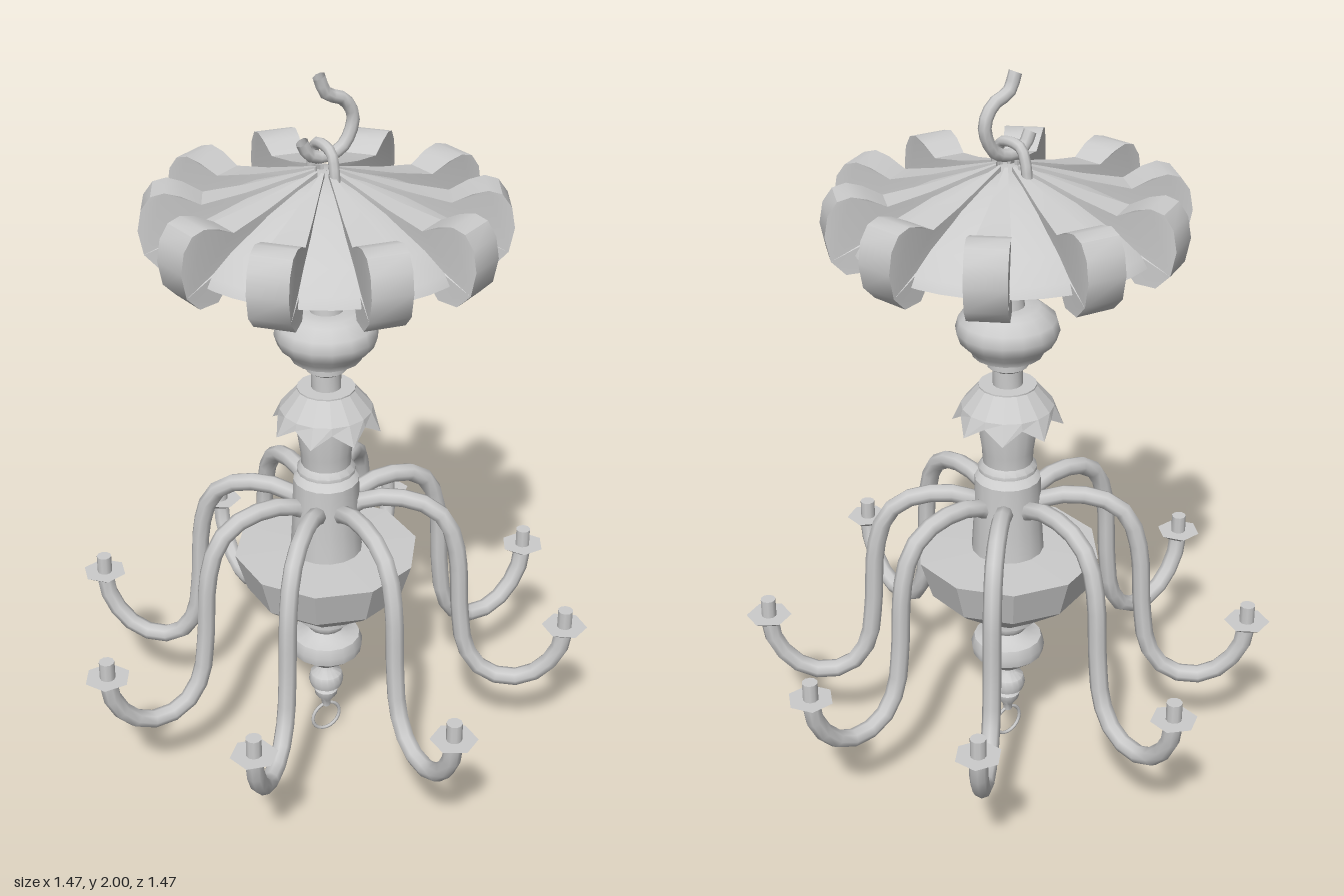
import * as THREE from 'three';
import { toCreasedNormals } from 'three/addons/utils/BufferGeometryUtils.js';

const mat = new THREE.MeshStandardMaterial({ color: 0xcccccc, side: THREE.DoubleSide });
const flat = new THREE.MeshStandardMaterial({ color: 0xcccccc, side: THREE.DoubleSide, flatShading: true });

function add(parent, name, geometry, material = mat) {
  const mesh = new THREE.Mesh(geometry, material);
  mesh.name = name;
  parent.add(mesh);
  return mesh;
}

// Turned part from [radius, height] pairs, bottom to top
function turned(profile, sides = 16, crease = 0.7) {
  const pts = profile.map(([r, y]) => new THREE.Vector2(r, y));
  return toCreasedNormals(new THREE.LatheGeometry(pts, sides), crease);
}

// Round bar through a few points
function bar(points, radius, steps, closed = false) {
  const curve = new THREE.CatmullRomCurve3(points.map(p => new THREE.Vector3(...p)), closed, 'centripetal');
  return new THREE.TubeGeometry(curve, steps, radius, 8, closed);
}

// Flared collar whose lower edge is cut into pointed petals
function petalCollar(petals) {
  const n = petals * 2, geo = new THREE.CylinderGeometry(1, 1, 1, n, 2, true);
  const p = geo.attributes.position;
  for (let i = 0; i < p.count; i++) {
    const row = Math.floor(i / (n + 1)), col = i % (n + 1), a = (col / n) * Math.PI * 2;
    const tip = col % 2 === 0;
    const r = row === 0 ? 0.075 : row === 1 ? 0.125 : tip ? 0.15 : 0.13;
    const y = row === 0 ? 1.145 : row === 1 ? 1.085 : tip ? 1.03 : 1.065;
    p.setXYZ(i, Math.sin(a) * r, y, Math.cos(a) * r);
  }
  return geo;
}

// Rib that widens from the canopy centre and ends in a rolled scroll at the rim
function scrollRib() {
  const outline = [
    [0.03, 1.755], [0.2, 1.705], [0.31, 1.68], [0.36, 1.705], [0.4, 1.715], [0.435, 1.705], [0.46, 1.67],
    [0.47, 1.615], [0.457, 1.55], [0.42, 1.512], [0.365, 1.515], [0.335, 1.55], [0.325, 1.61],
    [0.2, 1.675], [0.03, 1.735],
  ];
  const shape = new THREE.Shape(outline.map(([r, y]) => new THREE.Vector2(r, y)));
  const geo = new THREE.ExtrudeGeometry(shape, { depth: 1, bevelEnabled: false });
  geo.translate(0, 0, -0.5);
  const p = geo.attributes.position;
  for (let i = 0; i < p.count; i++) p.setZ(i, p.getZ(i) * 0.105 * Math.min(1, p.getX(i) / 0.38));
  return toCreasedNormals(geo, 0.6);
}

export function createModel() {
  const group = new THREE.Group();

  // Pull ring and finial
  add(group, 'pullRing', new THREE.TorusGeometry(0.044, 0.005, 6, 20)).position.y = 0.05;
  add(group, 'finial', turned([
    [0, 0.085], [0.012, 0.09], [0.014, 0.11], [0.032, 0.135], [0.034, 0.15], [0.024, 0.16],
    [0.045, 0.17], [0.05, 0.19], [0.045, 0.21], [0.025, 0.225], [0.02, 0.24], [0.04, 0.25],
    [0.07, 0.275], [0.1, 0.3], [0.104, 0.325], [0.095, 0.35], [0.065, 0.36], [0.05, 0.375],
    [0.06, 0.39], [0.06, 0.4], [0.08, 0.41], [0.08, 0.43], [0, 0.43],
  ]));

  // Faceted bowl
  add(group, 'bowl', turned([
    [0.05, 0.43], [0.1, 0.435], [0.205, 0.515], [0.222, 0.53], [0.24, 0.59], [0.255, 0.64], [0.08, 0.645],
  ], 10, 0.2), flat);

  // Column
  add(group, 'lowerColumn', turned([
    [0.1, 0.64], [0.095, 0.72], [0.09, 0.865], [0.075, 0.88], [0.05, 0.885],
    [0.08, 0.89], [0.08, 0.9], [0.068, 0.915], [0.07, 0.95], [0.085, 1.05], [0.078, 1.145], [0, 1.145],
  ]));
  add(group, 'petalCollar', petalCollar(8), flat);
  add(group, 'upperColumn', turned([
    [0.04, 1.14], [0.04, 1.19], [0.055, 1.2], [0.055, 1.225], [0.065, 1.23], [0.095, 1.235], [0.1, 1.25],
    [0.128, 1.275], [0.138, 1.305], [0.13, 1.335], [0.1, 1.36], [0.085, 1.37], [0.045, 1.37],
    [0.04, 1.425], [0.065, 1.43], [0.075, 1.445], [0.065, 1.46], [0.075, 1.475], [0.075, 1.485],
    [0.06, 1.495], [0.075, 1.54], [0.1, 1.62], [0.12, 1.7],
  ]));

  // Canopy with ten scrolled ribs
  add(group, 'canopy', turned([
    [0.4, 1.56], [0.385, 1.585], [0.32, 1.63], [0.2, 1.69], [0.1, 1.725], [0.001, 1.75],
  ], 40));
  const rib = scrollRib();
  for (let i = 0; i < 10; i++) {
    add(group, 'scrollRib', rib).rotation.y = THREE.MathUtils.degToRad(8 - i * 36);
  }

  // Hanging eye and hook
  add(group, 'hangingEye', bar([
    [0, 1.735, 0.045], [0, 1.77, 0.04], [0, 1.805, 0.025], [0, 1.808, -0.05], [0, 1.77, -0.07], [0, 1.735, -0.075],
  ], 0.014, 14));
  add(group, 'hook', bar([
    [-0.012, 1.99, -0.015], [0.008, 1.945, -0.015], [0.06, 1.92, -0.015], [0.085, 1.87, -0.015],
    [0.055, 1.8, -0.015], [0, 1.782, -0.015], [-0.04, 1.795, -0.015], [-0.06, 1.83, -0.015],
  ], 0.017, 16));

  // Eight arms, each with a hexagonal drip dish and a candle socket
  const armTube = bar([
    [0.05, 0.765, 0], [0.12, 0.808, 0], [0.25, 0.808, 0], [0.325, 0.76, 0], [0.362, 0.66, 0],
    [0.378, 0.45, 0], [0.4, 0.33, 0], [0.46, 0.257, 0], [0.56, 0.25, 0], [0.63, 0.305, 0],
    [0.665, 0.375, 0], [0.67, 0.42, 0],
  ], 0.025, 20);
  const dish = new THREE.CylinderGeometry(0.063, 0.03, 0.022, 6);
  dish.rotateY(Math.PI / 2);
  const socket = new THREE.CylinderGeometry(0.021, 0.021, 0.06, 10);
  for (const deg of [0, 37, 90, 135, 180, 225, 270, 316]) {
    const arm = new THREE.Group();
    arm.name = 'arm';
    add(arm, 'armTube', armTube);
    add(arm, 'dripDish', dish, flat).position.set(0.67, 0.424, 0);
    add(arm, 'candleSocket', socket).position.set(0.67, 0.457, 0);
    arm.rotation.y = -THREE.MathUtils.degToRad(deg);
    group.add(arm);
  }
  return group;
}
